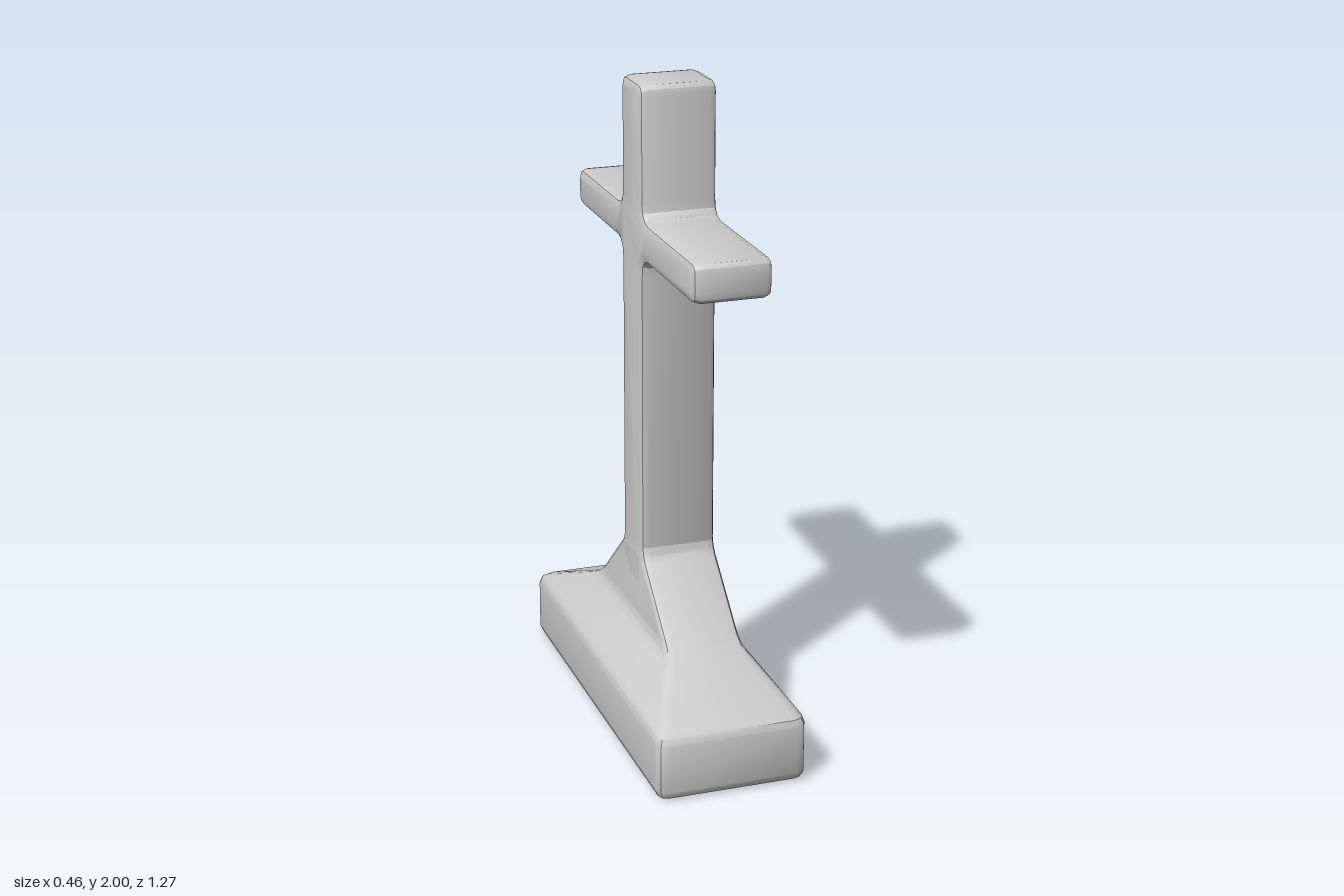
import * as THREE from 'three';
import { toCreasedNormals } from 'three/addons/utils/BufferGeometryUtils.js';

const CREASE = 0.5;
const HALF_WIDTH = 0.118;

// Rounds every corner of a closed polygon; each corner is [x, y, radius]
function roundedShape(corners) {
  const shape = new THREE.Shape();
  const n = corners.length;
  corners.forEach(([x, y, r], i) => {
    const toward = ([px, py]) => {
      const d = Math.hypot(px - x, py - y);
      return [x + (px - x) * r / d, y + (py - y) * r / d];
    };
    const a = toward(corners[(i + n - 1) % n]);
    const b = toward(corners[(i + 1) % n]);
    if (i === 0) shape.moveTo(...a); else shape.lineTo(...a);
    shape.quadraticCurveTo(x, y, ...b);
  });
  shape.closePath();
  return shape;
}

// Upright post and both arms: one outline in z/y, extruded across x
function crossGeometry() {
  const r = 0.035, f = 0.05;
  const front = 0.135, back = -0.051;
  const shape = roundedShape([
    [back, 0.46, 0.005], [front, 0.46, 0.005],
    [front, 1.485, f], [0.6, 1.485, r], [0.6, 1.605, r], [front, 1.605, f],
    [front, 2, r], [back, 2, r],
    [back, 1.612, f], [-0.487, 1.612, r], [-0.487, 1.495, r], [back, 1.495, f],
  ]);
  const bevel = 0.025;
  const depth = 2 * (HALF_WIDTH - bevel);
  const g = new THREE.ExtrudeGeometry(shape, {
    depth, curveSegments: 3, bevelEnabled: true, bevelSegments: 2,
    bevelSize: bevel, bevelThickness: bevel, bevelOffset: -bevel,
  });
  g.translate(0, 0, -depth / 2);
  g.rotateY(-Math.PI / 2);
  return toCreasedNormals(g, CREASE);
}

// Flared foot: rounded rectangles [y, half width, back z, front z, corner] lofted upward
function baseGeometry() {
  const levels = [
    [0, 0.2, -0.605, 0.605, 0.02],
    [0.009, 0.221, -0.626, 0.626, 0.027],
    [0.03, 0.23, -0.637, 0.637, 0.033],
    [0.18, 0.23, -0.637, 0.637, 0.033],
    [0.2, 0.224, -0.628, 0.628, 0.033],
    [0.214, 0.214, -0.605, 0.605, 0.033],
    [0.32, 0.133, -0.34, 0.42, 0.03],
    [0.34, 0.122, -0.303, 0.388, 0.028],
    [0.365, HALF_WIDTH, -0.27, 0.355, 0.025],
    [0.54, HALF_WIDTH, -0.069, 0.156, 0.025],
    [0.56, HALF_WIDTH, -0.056, 0.141, 0.025],
    [0.585, HALF_WIDTH, -0.051, 0.135, 0.025],
  ];
  const perCorner = 3, count = perCorner * 4;
  const pos = [], index = [];
  for (const [y, hx, z0, z1, c] of levels) {
    const centres = [[hx - c, z1 - c], [c - hx, z1 - c], [c - hx, z0 + c], [hx - c, z0 + c]];
    centres.forEach(([cx, cz], q) => {
      for (let k = 0; k < perCorner; k++) {
        const a = (q + k / (perCorner - 1)) * Math.PI / 2;
        pos.push(cx + c * Math.cos(a), y, cz + c * Math.sin(a));
      }
    });
  }
  for (let l = 0; l < levels.length - 1; l++) {
    for (let i = 0; i < count; i++) {
      const a = l * count + i, b = l * count + (i + 1) % count;
      index.push(a, a + count, b, b, a + count, b + count);
    }
  }
  // Bottom and top caps
  const top = (levels.length - 1) * count;
  for (let i = 1; i < count - 1; i++) {
    index.push(0, i, i + 1, top, top + i + 1, top + i);
  }
  const g = new THREE.BufferGeometry();
  g.setAttribute('position', new THREE.Float32BufferAttribute(pos, 3));
  g.setIndex(index);
  return toCreasedNormals(g, CREASE);
}

export function createModel() {
  const group = new THREE.Group();
  group.name = 'cross';
  const material = new THREE.MeshStandardMaterial({ color: 0xcccccc });
  const add = (name, geometry) => {
    const mesh = new THREE.Mesh(geometry, material);
    mesh.name = name;
    group.add(mesh);
  };
  add('postAndArms', crossGeometry());
  add('flaredBase', baseGeometry());
  return group;
}
